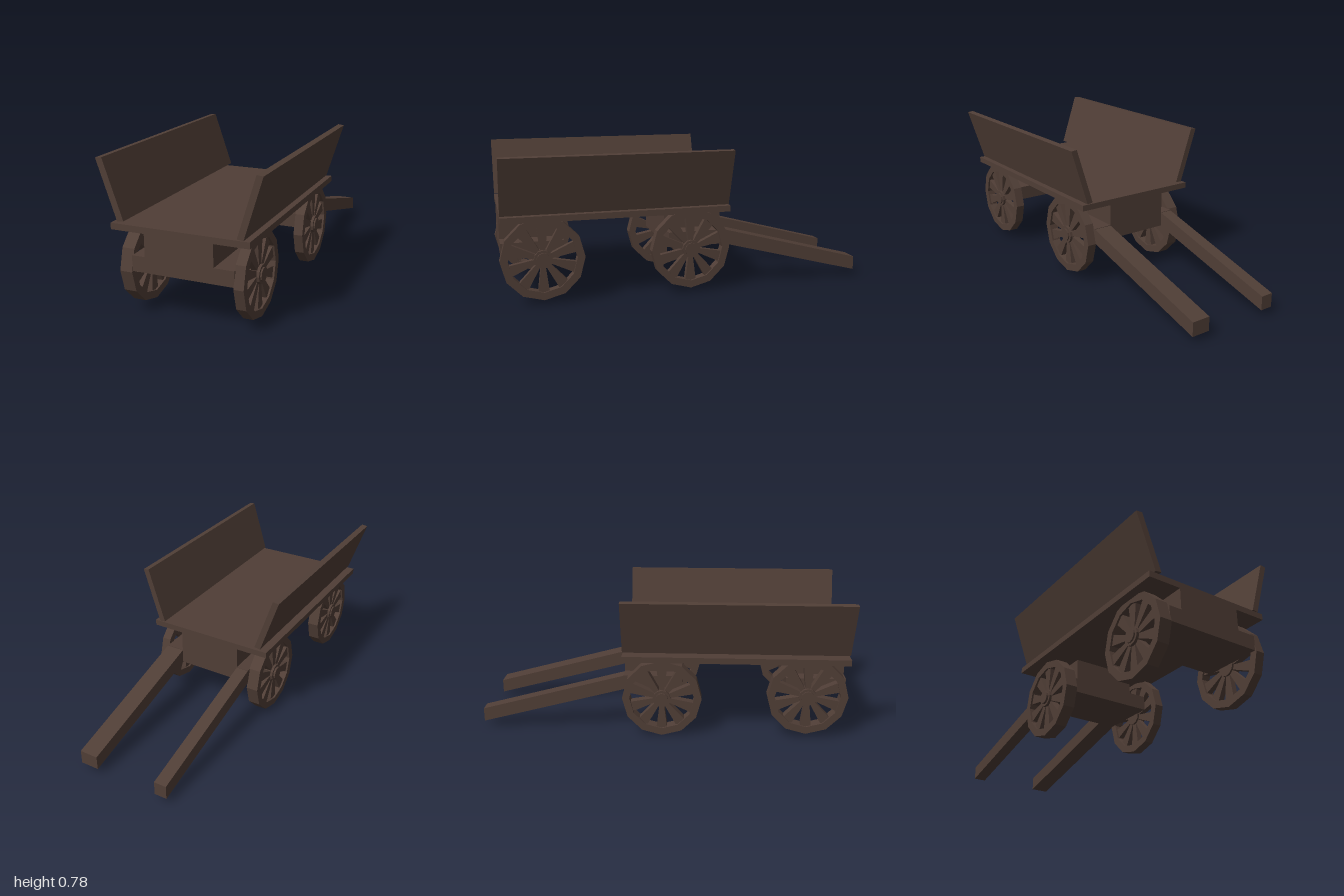
import * as THREE from 'three';

const wood = new THREE.MeshStandardMaterial({ color: 0x503e36, flatShading: true });
wood.name = 'dark wood';

// Prism from an outline in the xy plane, running from z0 to z1
function prism(name, points, z0, z1, holes = []) {
  const shape = new THREE.Shape(points.map(([x, y]) => new THREE.Vector2(x, y)));
  for (const h of holes) shape.holes.push(new THREE.Path(h.map(([x, y]) => new THREE.Vector2(x, y))));
  const geo = new THREE.ExtrudeGeometry(shape, { depth: z1 - z0, bevelEnabled: false });
  geo.translate(0, 0, z0);
  const mesh = new THREE.Mesh(geo, wood);
  mesh.name = name;
  return mesh;
}

function ring(radius, sides) {
  return Array.from({ length: sides }, (_, i) => {
    const a = (i / sides) * Math.PI * 2;
    return [Math.cos(a) * radius, Math.sin(a) * radius];
  });
}

// Spoked wheel; its axis is local z, with the outer face at z = 0
function makeWheel(name, thickness, hubReach) {
  const wheel = new THREE.Group();
  wheel.name = name;
  wheel.add(prism('rim', ring(0.216, 12), -thickness, 0, [ring(0.176, 12)]));
  const count = 10;
  for (let i = 0; i < count; i++) {
    const spoke = prism('spoke', [[0.03, -0.011], [0.182, -0.03], [0.182, 0.03], [0.03, 0.011]],
      -thickness + 0.01, -0.01);
    spoke.rotation.z = ((i + 0.5) / count) * Math.PI * 2;
    wheel.add(spoke);
  }
  wheel.add(prism('hub', ring(0.048, 12), -thickness, 0.004));
  wheel.add(prism('hubCap', ring(0.035, 12), 0, hubReach));
  return wheel;
}

export function createModel() {
  const cart = new THREE.Group();
  cart.name = 'cart';
  const back = -0.21, front = 0.99;

  // Flat bed
  cart.add(prism('bed', [[-0.355, 0.438], [0.352, 0.438], [0.352, 0.47], [-0.355, 0.47]], back, front));

  // Sloping side boards
  cart.add(prism('rightBoard', [[-0.318, 0.481], [-0.284, 0.485], [-0.384, 0.781], [-0.418, 0.777]], back, front));
  cart.add(prism('leftBoard', [[0.29, 0.476], [0.322, 0.472], [0.416, 0.771], [0.384, 0.775]], back, front));

  // Stepped axle blocks below the bed
  const block = [[-0.247, 0.245], [0.277, 0.245], [0.277, 0.324], [0.175, 0.324],
    [0.175, 0.44], [-0.178, 0.44], [-0.178, 0.324], [-0.247, 0.324]];
  cart.add(prism('frontAxleBlock', block, 0.67, front));
  cart.add(prism('rearAxleBlock', block, back, 0.11));

  // Pulling shafts sloping down behind the cart
  for (const [name, x0, x1] of [['rightShaft', -0.247, -0.178], ['leftShaft', 0.175, 0.277]]) {
    const shaft = prism(name, [[0.2, 0.245], [1, 0.035], [1, 0.11], [0.2, 0.324]], x0, x1);
    shaft.geometry.rotateY(Math.PI / 2);
    cart.add(shaft);
  }

  // Wheels: name, side, outer x, thickness, hub reach, centre y, centre z, turn
  const wheels = [
    ['frontLeftWheel', 1, 0.325, 0.05, 0.012, 0.24, 0.783, 0],
    ['rearLeftWheel', 1, 0.325, 0.05, 0.012, 0.24, 0, 0],
    ['frontRightWheel', -1, -0.31, 0.065, 0.012, 0.24, 0.783, 0],
    ['rearRightWheel', -1, -0.31, 0.065, 0.015, 0.216, 0, 0],
  ];
  for (const [name, side, x, thickness, reach, y, z, turn] of wheels) {
    const wheel = makeWheel(name, thickness, reach);
    wheel.rotation.set(0, side * Math.PI / 2, turn);
    wheel.position.set(x, y, z);
    cart.add(wheel);
  }
  return cart;
}
